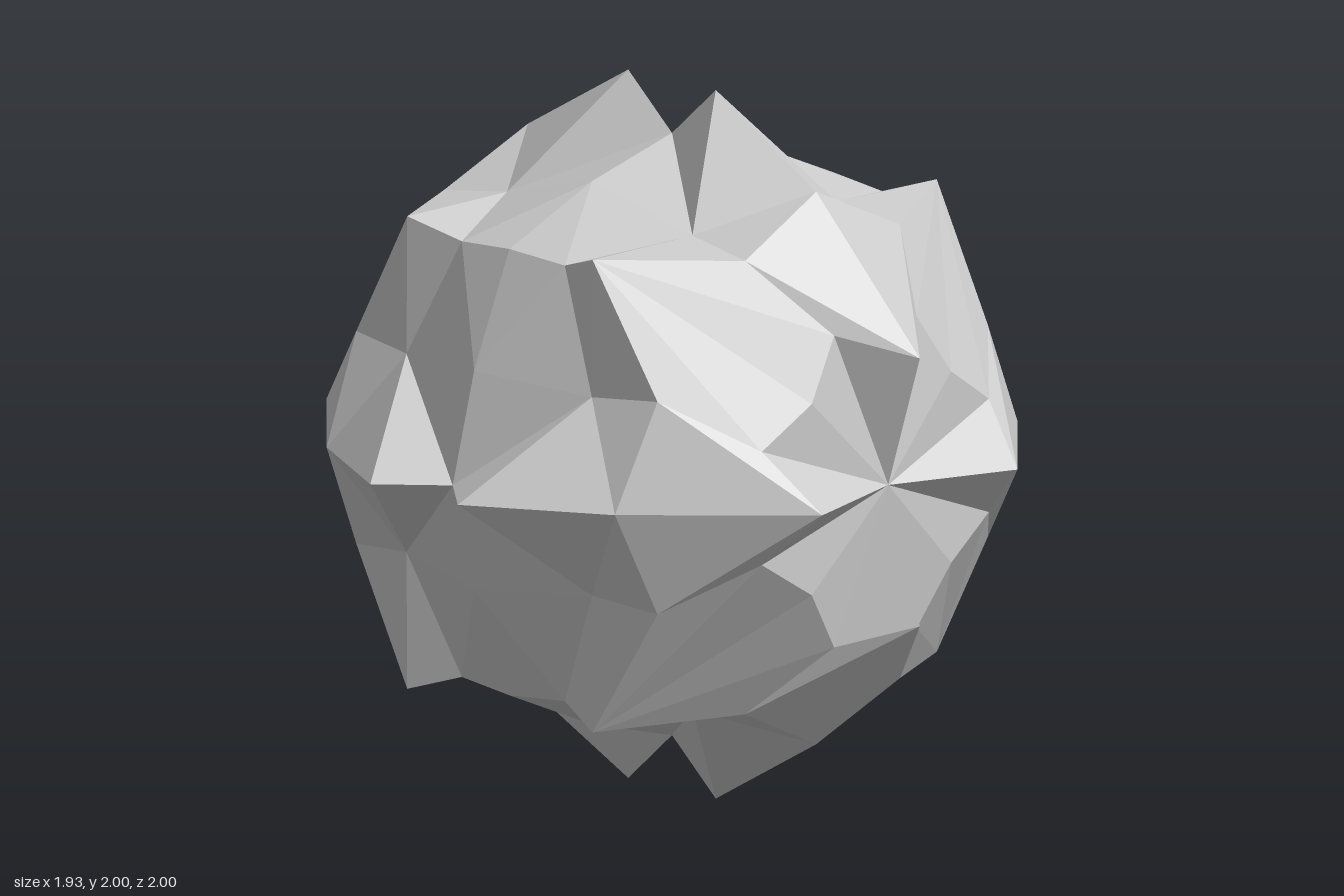
import * as THREE from 'three';

// Corner points of one sixteenth of the solid (x >= 0, z >= y >= 0), centred on the origin
const P = {
  valley: [0, 0, 0.85],
  peak: [0.17, 0, 1],
  spikeFoot: [0.36, 0.28, 0.67],
  shoulder: [0.56, 0, 0.78],
  notch: [0.585, 0.3, 0.64],
  corner: [0.36, 0.667, 0.667],
  seamOuter: [0.2, 0.615, 0.615],
  seamMid: [0, 0.63, 0.63],
  domeRidge: [0, 0.31, 0.767],
  starCentre: [0.84, 0, 0],
  starTip: [0.963, 0, 0.378],
  starFoot: [0.79, 0.16, 0.44],
  starInner: [0.814, 0.27, 0.27],
};

// Faces of that sixteenth, grouped by part; each polygon is fanned from its first corner
const PARTS = {
  spikes: [
    ['valley', 'peak', 'spikeFoot'],
    ['peak', 'shoulder', 'spikeFoot'],
  ],
  domePanels: [
    ['valley', 'spikeFoot', 'domeRidge'],
    ['domeRidge', 'spikeFoot', 'seamOuter'],
    ['domeRidge', 'seamOuter', 'seamMid'],
    ['seamOuter', 'spikeFoot', 'corner'],
    ['corner', 'spikeFoot', 'notch'],
    ['spikeFoot', 'shoulder', 'notch'],
  ],
  cornerFacets: [['corner', 'notch', 'starFoot', 'starInner']],
  sideStars: [
    ['starCentre', 'starTip', 'starFoot'],
    ['starCentre', 'starFoot', 'starInner'],
    ['starTip', 'shoulder', 'notch'],
    ['starTip', 'notch', 'starFoot'],
  ],
};

// The sixteen symmetries: mirror in x, y and z, and swap y with z
function symmetries() {
  const list = [];
  for (const sx of [1, -1])
    for (const sy of [1, -1])
      for (const sz of [1, -1])
        for (const swap of [false, true])
          list.push(([x, y, z]) =>
            new THREE.Vector3(sx * x, sy * (swap ? z : y), sz * (swap ? y : z)));
  return list;
}

// Adds a triangle wound so that it faces away from the centre
function addTriangle(out, a, b, c) {
  const normal = b.clone().sub(a).cross(c.clone().sub(a));
  const outward = normal.dot(a.clone().add(b).add(c)) > 0;
  for (const v of outward ? [a, b, c] : [a, c, b]) out.push(v.x, v.y, v.z);
}

function buildPart(faces) {
  const positions = [];
  for (const map of symmetries())
    for (const face of faces) {
      const v = face.map((name) => map(P[name]));
      for (let i = 1; i < v.length - 1; i++) addTriangle(positions, v[0], v[i], v[i + 1]);
    }
  const geometry = new THREE.BufferGeometry();
  geometry.setAttribute('position', new THREE.Float32BufferAttribute(positions, 3));
  geometry.computeVertexNormals();
  return geometry;
}

export function createModel() {
  const group = new THREE.Group();
  group.name = 'facetedStarBall';
  const material = new THREE.MeshStandardMaterial({ color: 0xcccccc, flatShading: true });
  for (const [name, faces] of Object.entries(PARTS)) {
    const mesh = new THREE.Mesh(buildPart(faces), material);
    mesh.name = name;
    mesh.position.y = 1; // stand on the ground
    group.add(mesh);
  }
  return group;
}
